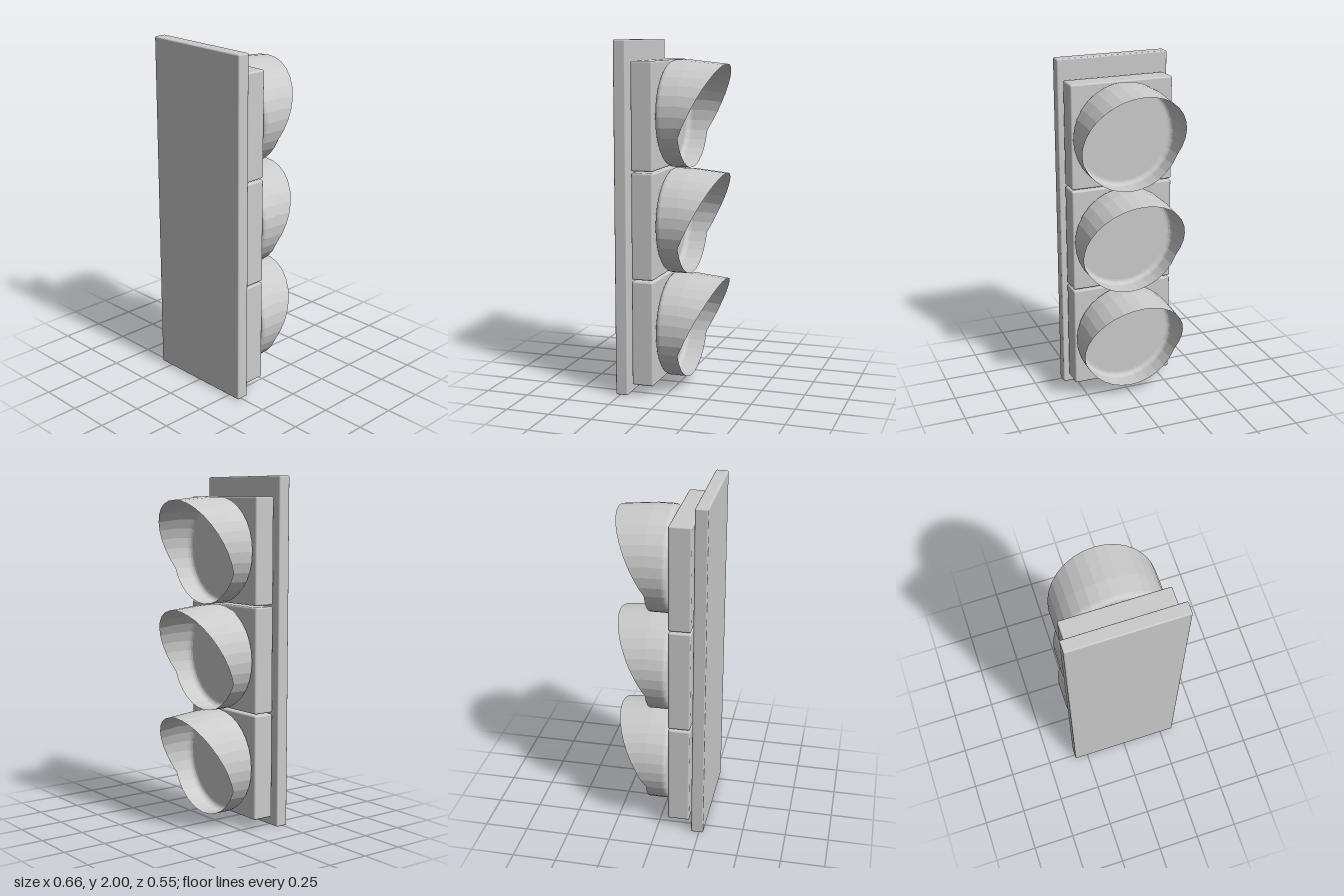
import * as THREE from 'three';
import { RoundedBoxGeometry } from 'three/addons/geometries/RoundedBoxGeometry.js';

const RADIUS = 0.303;
const FRONT = -0.077; // z of the straight part's open end

// Open cup with a rounded base; its last ring is pulled out into a slanted visor
function visorGeometry() {
  const profile = [new THREE.Vector2(0, 0.049)];
  const fillet = 0.028;
  for (let i = 0; i <= 4; i++) {
    const a = (i / 4) * Math.PI / 2;
    profile.push(new THREE.Vector2(
      RADIUS - fillet + fillet * Math.sin(a),
      0.049 - fillet + fillet * Math.cos(a)));
  }
  profile.push(new THREE.Vector2(RADIUS, FRONT), new THREE.Vector2(RADIUS, FRONT - 0.001));

  const geometry = new THREE.LatheGeometry(profile, 32);
  geometry.rotateX(Math.PI / 2);
  const p = geometry.attributes.position;
  for (let i = 0; i < p.count; i++) {
    if (p.getZ(i) > FRONT - 0.0005) continue;
    const y = p.getY(i);
    const t = Math.max(0, (y + 0.116) / (RADIUS + 0.116));
    p.setY(i, y - 0.02 * t);
    p.setZ(i, FRONT - 0.001 - 0.199 * t);
  }
  const faceted = geometry.toNonIndexed();
  faceted.computeVertexNormals();
  return faceted;
}

export function createModel() {
  const model = new THREE.Group();
  model.name = 'trafficSignal';
  const grey = new THREE.MeshStandardMaterial({ color: 0xcccccc });
  const shell = new THREE.MeshStandardMaterial({
    color: 0xcccccc, flatShading: true, side: THREE.DoubleSide });

  // Mounting board
  const board = new THREE.Mesh(new RoundedBoxGeometry(0.66, 2, 0.072, 3, 0.008), grey);
  board.name = 'backBoard';
  board.position.set(0, 1, 0.239);
  model.add(board);

  // Three stacked lamp units, each a housing and a hooded cup
  const housingGeometry = new RoundedBoxGeometry(0.606, 0.603, 0.126, 3, 0.01);
  const hoodGeometry = visorGeometry();
  ['lower', 'middle', 'upper'].forEach((level, i) => {
    const unit = new THREE.Group();
    unit.name = level + 'Lamp';
    unit.position.y = 0.36 + i * 0.612;
    const housing = new THREE.Mesh(housingGeometry, grey);
    housing.name = level + 'Housing';
    housing.position.z = 0.122;
    const hood = new THREE.Mesh(hoodGeometry, shell);
    hood.name = level + 'Visor';
    unit.add(housing, hood);
    model.add(unit);
  });
  return model;
}
